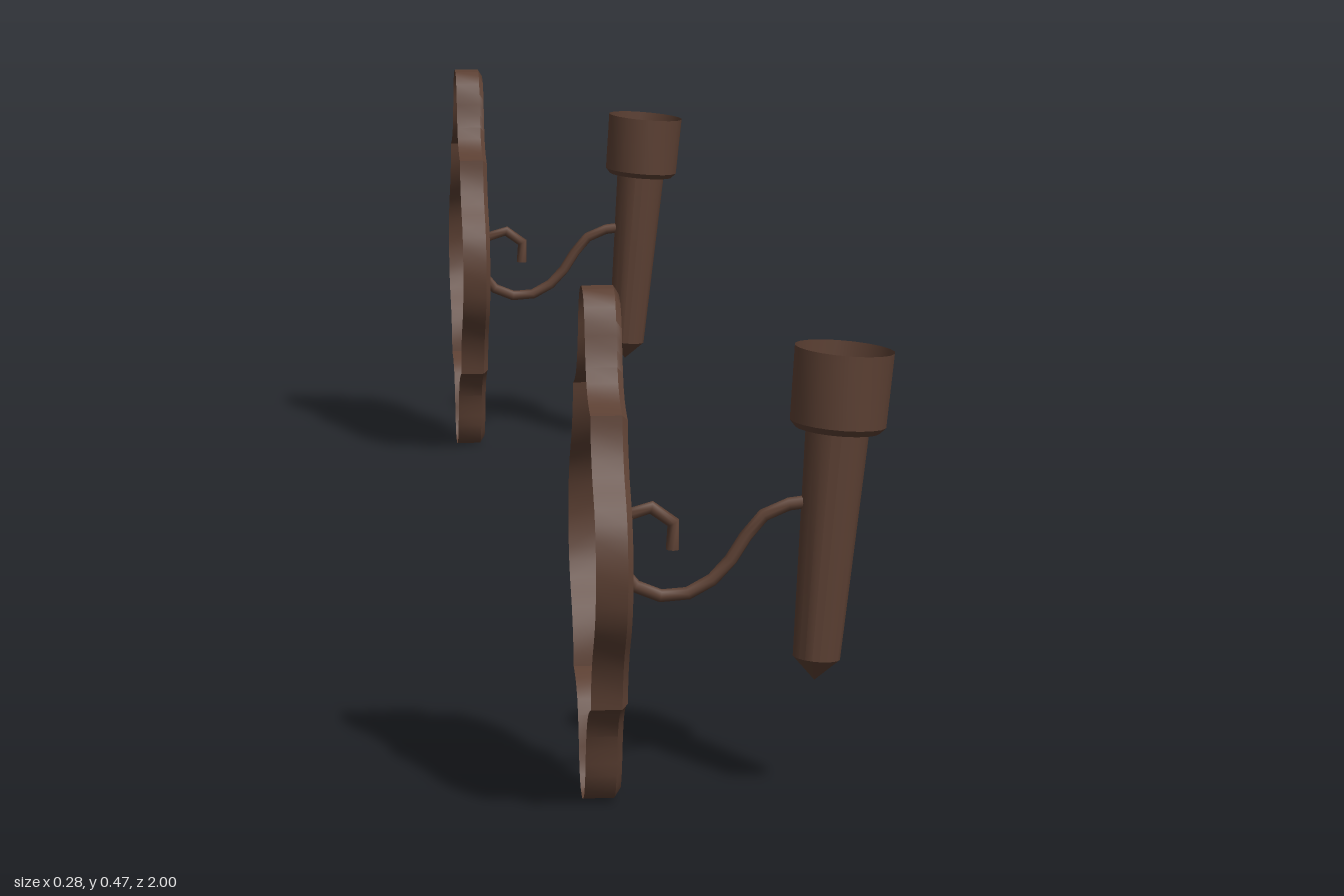
import * as THREE from 'three';
import { toCreasedNormals } from 'three/addons/utils/BufferGeometryUtils.js';

const V2 = (p) => new THREE.Vector2(p[0], p[1]);

// Scalloped outline as [z, y] pairs, built from one mirrored quarter
function plateOutline() {
  const tip = new THREE.SplineCurve([[0, 0.2325], [0.018, 0.226], [0.03, 0.205], [0.036, 0.18],
    [0.048, 0.153], [0.066, 0.138], [0.085, 0.131]].map(V2)).getPoints(12);
  const side = new THREE.SplineCurve([[0.085, 0.131], [0.089, 0.108], [0.102, 0.08],
    [0.121, 0.056], [0.133, 0.03], [0.137, 0]].map(V2)).getPoints(10);
  const quarter = [...tip, ...side.slice(1)].map((p) => [p.x, p.y]);
  const half = [...quarter, ...quarter.slice(0, -1).reverse().map(([z, y]) => [z, -y])];
  return [...half, ...half.slice(1, -1).reverse().map(([z, y]) => [-z, y])];
}

// Hollow plate, open at the back, with a bevelled front edge
function plateGeometry() {
  const outline = plateOutline();
  const n = outline.length;
  const pos = [];
  const idx = [];
  const loops = [[-0.14, 1], [-0.112, 1], [-0.107, 0.965]];
  for (const [x, s] of loops) for (const [z, y] of outline) pos.push(x, y * s + 0.2325, z * s);
  pos.push(-0.107, 0.2325, 0);
  for (let i = 0; i < n; i++) {
    const j = (i + 1) % n;
    for (let k = 0; k < 2; k++) {
      const a = k * n, b = a + n;
      idx.push(a + i, a + j, b + j, a + i, b + j, b + i);
    }
    idx.push(3 * n, 2 * n + i, 2 * n + j);
  }
  const g = new THREE.BufferGeometry();
  g.setAttribute('position', new THREE.Float32BufferAttribute(pos, 3));
  g.setIndex(idx);
  return toCreasedNormals(g, 0.6);
}

// Scrolled arm from its curled end to the torch
function armGeometry() {
  const pts = [[-0.059, 0.226], [-0.058, 0.25], [-0.08, 0.265], [-0.103, 0.256], [-0.113, 0.231],
    [-0.103, 0.204], [-0.083, 0.188], [-0.052, 0.184], [-0.018, 0.202], [0, 0.226],
    [0.016, 0.25], [0.037, 0.263], [0.07, 0.268]];
  const curve = new THREE.CatmullRomCurve3(pts.map(([x, y]) => new THREE.Vector3(x, y, 0)));
  return new THREE.TubeGeometry(curve, 14, 0.006, 8);
}

// Tapered shaft and open cup as one thin shell
function torchGeometry() {
  const profile = [[0, 0], [0.0215, 0.021], [0.0287, 0.228], [0.038, 0.229],
    [0.0435, 0.235], [0.045, 0.302]].map(V2);
  return toCreasedNormals(new THREE.LatheGeometry(profile, 20), 0.6);
}

export function createModel() {
  const model = new THREE.Group();
  const brown = new THREE.MeshStandardMaterial({ color: 0x5c4033, side: THREE.DoubleSide });
  brown.name = 'dark brown';
  const parts = { wallPlate: plateGeometry(), scrollArm: armGeometry(), torchHolder: torchGeometry() };

  // Two identical sconces
  for (const [name, z] of [['frontSconce', 0.863], ['backSconce', -0.863]]) {
    const sconce = new THREE.Group();
    sconce.name = name;
    sconce.position.z = z;
    for (const [part, geometry] of Object.entries(parts)) {
      const mesh = new THREE.Mesh(geometry, brown);
      mesh.name = part;
      if (part === 'torchHolder') {
        mesh.position.set(0.069, 0.104, 0);
        mesh.rotation.z = -0.085;
      }
      sconce.add(mesh);
    }
    model.add(sconce);
  }
  return model;
}
